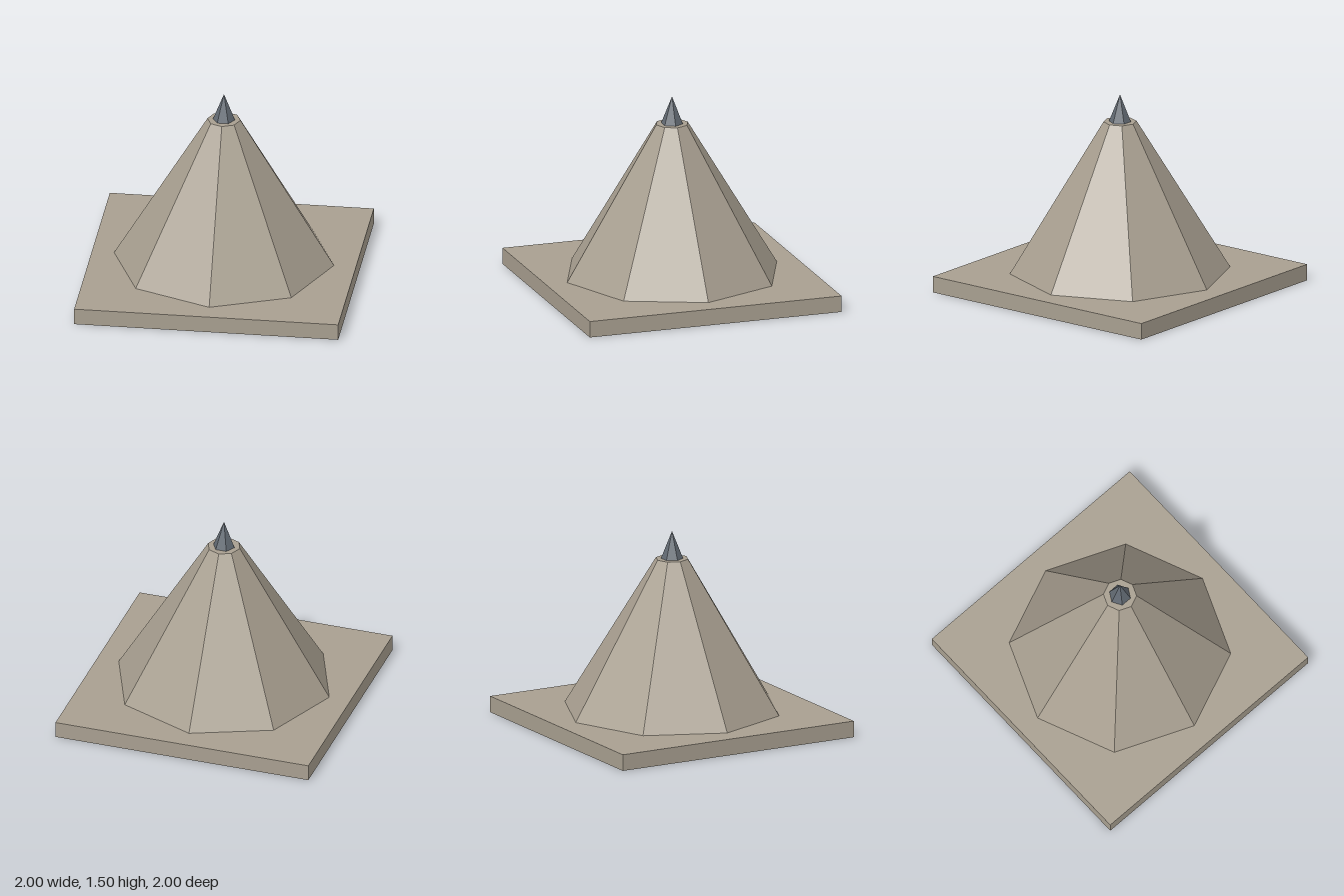
import * as THREE from 'three';

export function createModel() {
  const model = new THREE.Group();
  const stone = new THREE.MeshStandardMaterial({ color: 0xa89f90, flatShading: true });
  stone.name = 'warm stone';
  const slate = new THREE.MeshStandardMaterial({ color: 0x626a73, flatShading: true });
  slate.name = 'dark slate';

  // Adds a part resting on the given height
  function addPart(name, geometry, material, bottom, height) {
    const mesh = new THREE.Mesh(geometry, material);
    mesh.name = name;
    mesh.position.y = bottom + height / 2;
    model.add(mesh);
    return mesh;
  }

  const slabH = 0.125, bodyH = 1.167, spikeH = 0.21;

  // Square base slab
  addPart('baseSlab', new THREE.BoxGeometry(2, slabH, 2), stone, 0, slabH);

  // Eight-sided tapering body with a flat top
  addPart('taperedBody', new THREE.CylinderGeometry(0.125, 0.833, bodyH, 8), stone, slabH, bodyH);

  // Six-sided spike, corners on the x axis
  const spike = addPart('spike', new THREE.ConeGeometry(0.083, spikeH, 6), slate, slabH + bodyH, spikeH);
  spike.rotation.y = Math.PI / 2;

  return model;
}
